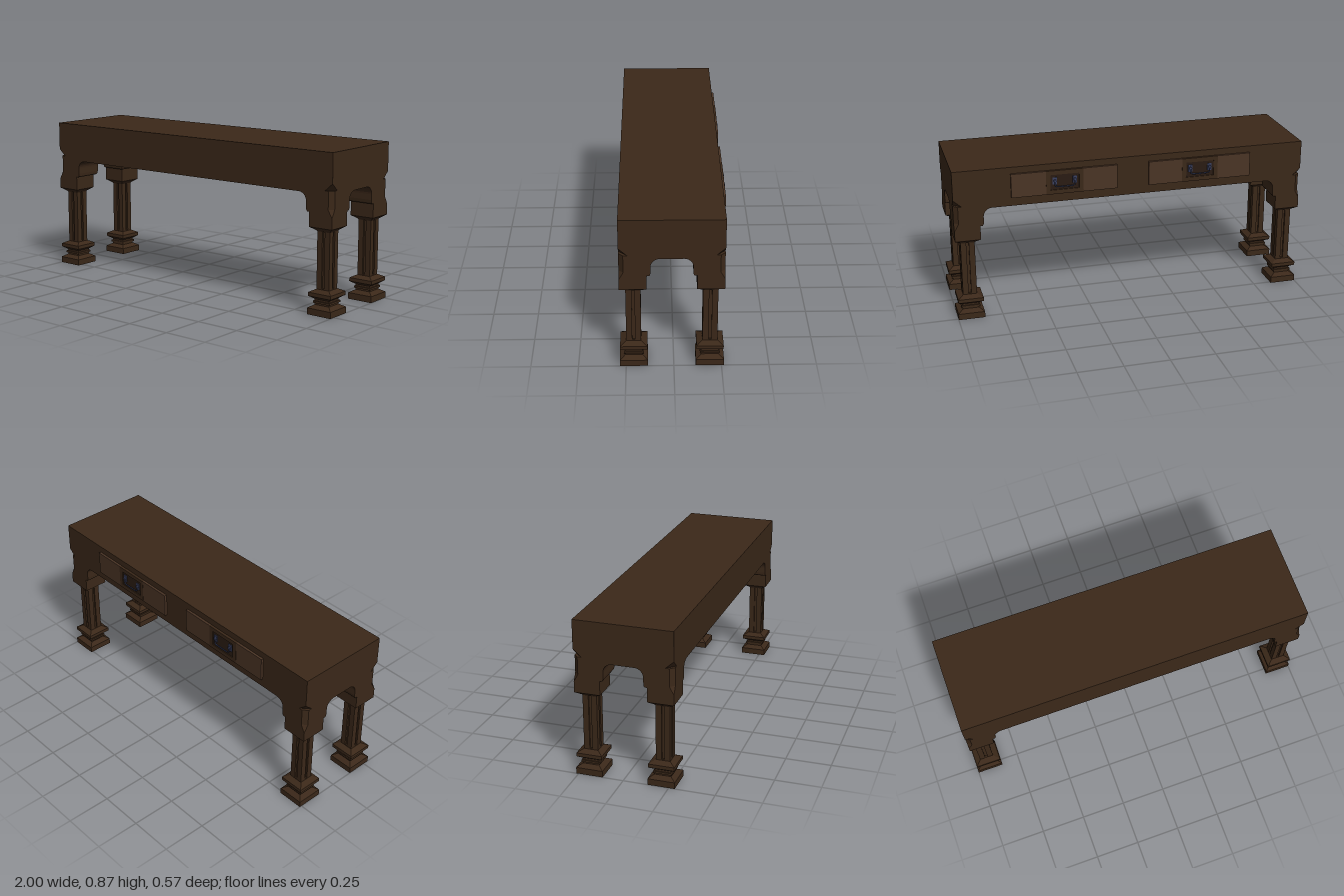
import * as THREE from 'three';

const material = (color) => new THREE.MeshStandardMaterial({ color, side: THREE.DoubleSide, flatShading: true });
const wood = material(0x3b2819);
const panelWood = material(0x4a3425);
const darkWood = material(0x2a1c13);
const metal = material(0x3a4060);

const X = 0.997, ZF = 0.28, ZB = -0.26; // outer faces of the table

// Stacks horizontal rings [y, [[x, z], ...]] (bottom to top) into a closed solid.
function loft(rings) {
  const pos = [];
  const n = rings[0][1].length;
  const put = (ring, i) => { const p = ring[1][i % n]; pos.push(p[0], ring[0], p[1]); };
  for (let r = 0; r < rings.length - 1; r++) {
    const a = rings[r], b = rings[r + 1];
    for (let i = 0; i < n; i++) {
      put(a, i); put(b, i); put(b, i + 1);
      put(a, i); put(b, i + 1); put(a, i + 1);
    }
  }
  const cap = (ring, up) => {
    const pts = ring[1].map((p) => new THREE.Vector2(p[0], p[1]));
    for (const [a, b, c] of THREE.ShapeUtils.triangulateShape(pts, [])) {
      const p = pts[a], q = pts[b], s = pts[c];
      const ccw = (q.x - p.x) * (s.y - p.y) - (q.y - p.y) * (s.x - p.x) > 0;
      for (const k of ccw === up ? [a, c, b] : [a, b, c]) put(ring, k);
    }
  };
  cap(rings[0], false);
  cap(rings[rings.length - 1], true);
  const g = new THREE.BufferGeometry();
  g.setAttribute('position', new THREE.Float32BufferAttribute(pos, 3));
  g.computeVertexNormals();
  return g;
}

function add(parent, name, geometry, mat, x = 0, y = 0, z = 0) {
  const mesh = new THREE.Mesh(geometry, mat);
  mesh.name = name;
  mesh.position.set(x, y, z);
  parent.add(mesh);
  return mesh;
}

const box = (parent, name, w, h, d, mat, x, y, z) =>
  add(parent, name, new THREE.BoxGeometry(w, h, d), mat, x, y, z);

// Square ring, wound counterclockwise in (x, z)
const square = (h) => [[-h, -h], [h, -h], [h, h], [-h, h]];

// Rectangular ring with cut corners
const cutRect = (c) => [
  [-X + c, ZB], [X - c, ZB], [X, ZB + c], [X, ZF - c],
  [X - c, ZF], [-X + c, ZF], [-X, ZF - c], [-X, ZB + c],
];

// Square ring with a groove in the middle of each side
function flutedSquare(h, w, d) {
  const side = [[-h, -h], [-w, -h], [-w, -h + d], [w, -h + d], [w, -h]];
  const out = [];
  for (let k = 0; k < 4; k++) {
    for (const [x, z] of side) {
      out.push([[x, z], [-z, x], [-x, -z], [z, -x]][k]);
    }
  }
  return out;
}

// Corner block: grows inward from the outer corner (0, 0), which is cut by c.
const cornerRing = (e, c) => [[-e, -e], [0, -e], [0, -c], [-c, 0], [-e, 0]];

function cornerBlock() {
  const E = 0.142, S = 0.16, R = 0.047;
  const rings = [
    [0.47, cornerRing(E, 0)],
    [0.53, cornerRing(E, 0)],
    [0.55, cornerRing(E, 0.012)],
    [0.55, cornerRing(S - 0.005, 0.012)],
    [0.557, cornerRing(S, 0.016)],
    [0.572, cornerRing(S + 0.002, 0.024)],
    [0.603, cornerRing(S + 0.002, 0.024)],
  ];
  // Cove that sweeps up into the underside
  for (let i = 1; i <= 8; i++) {
    const t = (i / 8) * Math.PI / 2;
    rings.push([0.603 + R * Math.sin(t), cornerRing(S + 0.002 + R * (1 - Math.cos(t)), 0.024)]);
  }
  return loft(rings);
}

function leg() {
  const g = new THREE.Group();
  // Stepped foot
  add(g, 'foot', loft([
    [0, 0.074], [0.035, 0.074], [0.052, 0.045], [0.062, 0.045], [0.062, 0.052], [0.073, 0.052],
    [0.073, 0.045], [0.083, 0.045], [0.1, 0.071], [0.12, 0.071], [0.136, 0.04],
  ].map(([y, h]) => [y, square(h)])), wood);
  // Shaft with a groove on each side
  add(g, 'shaft', loft([
    [0.13, square(0.039)], [0.142, square(0.039)],
  ]), wood);
  add(g, 'shaftFlutes', loft([
    [0.142, flutedSquare(0.039, 0.0075, 0.01)], [0.445, flutedSquare(0.039, 0.0075, 0.01)],
  ]), wood);
  add(g, 'capital', loft([
    [0.445, square(0.039)], [0.45, square(0.042)], [0.47, square(0.071)],
  ]), wood);
  return g;
}

function drawer() {
  const g = new THREE.Group();
  // Two side panels around a framed middle
  for (const s of [-1, 1]) {
    box(g, 'drawerPanel', 0.192, 0.135, 0.02, panelWood, s * 0.2, 0, -0.004);
    box(g, 'frameSide', 0.024, 0.135, 0.02, wood, s * 0.092, 0, -0.005);
    box(g, 'frameRail', 0.16, 0.024, 0.02, wood, 0, s * 0.0555, -0.005);
  }
  box(g, 'handlePlate', 0.16, 0.087, 0.012, darkWood, 0, 0, -0.004);
  // Drop handle hung from two posts
  for (const s of [-1, 1]) {
    box(g, 'handleMount', 0.024, 0.04, 0.004, metal, s * 0.056, 0.008, -0.012);
    const post = add(g, 'handlePost', new THREE.CylinderGeometry(0.008, 0.008, 0.012, 8), metal, s * 0.056, 0.01, -0.017);
    post.rotation.x = Math.PI / 2;
  }
  const path = new THREE.CatmullRomCurve3([
    [-0.056, 0.01, -0.018], [-0.055, -0.016, -0.019], [-0.04, -0.024, -0.02],
    [0.04, -0.024, -0.02], [0.055, -0.016, -0.019], [0.056, 0.01, -0.018],
  ].map((p) => new THREE.Vector3(...p)), false, 'catmullrom', 0.2);
  add(g, 'handleBail', new THREE.TubeGeometry(path, 24, 0.0035, 6), metal);
  return g;
}

export function createModel() {
  const model = new THREE.Group();
  model.name = 'table';

  // Solid top whose lower corners run into pointed chamfers
  add(model, 'tableTop', loft([
    [0.65, cutRect(0.024)], [0.67, cutRect(0.024)], [0.67, cutRect(0.045)],
    [0.71, cutRect(0.0001)], [0.871, cutRect(0.0001)],
  ]), wood);

  // Four legs with their corner blocks
  for (const sx of [-1, 1]) {
    for (const sz of [-1, 1]) {
      const l = leg();
      l.name = 'leg';
      l.position.set(sx * 0.926, 0, 0.01 + sz * 0.199);
      model.add(l);
      const block = add(model, 'cornerBlock', cornerBlock(), wood, sx * X, 0, sz > 0 ? ZF : ZB);
      block.scale.set(sx, 1, sz);
    }
  }

  // Two drawers on the back
  for (const sx of [-1, 1]) {
    const d = drawer();
    d.name = 'drawer';
    d.position.set(sx * 0.386, 0.767, ZB);
    model.add(d);
  }
  return model;
}
